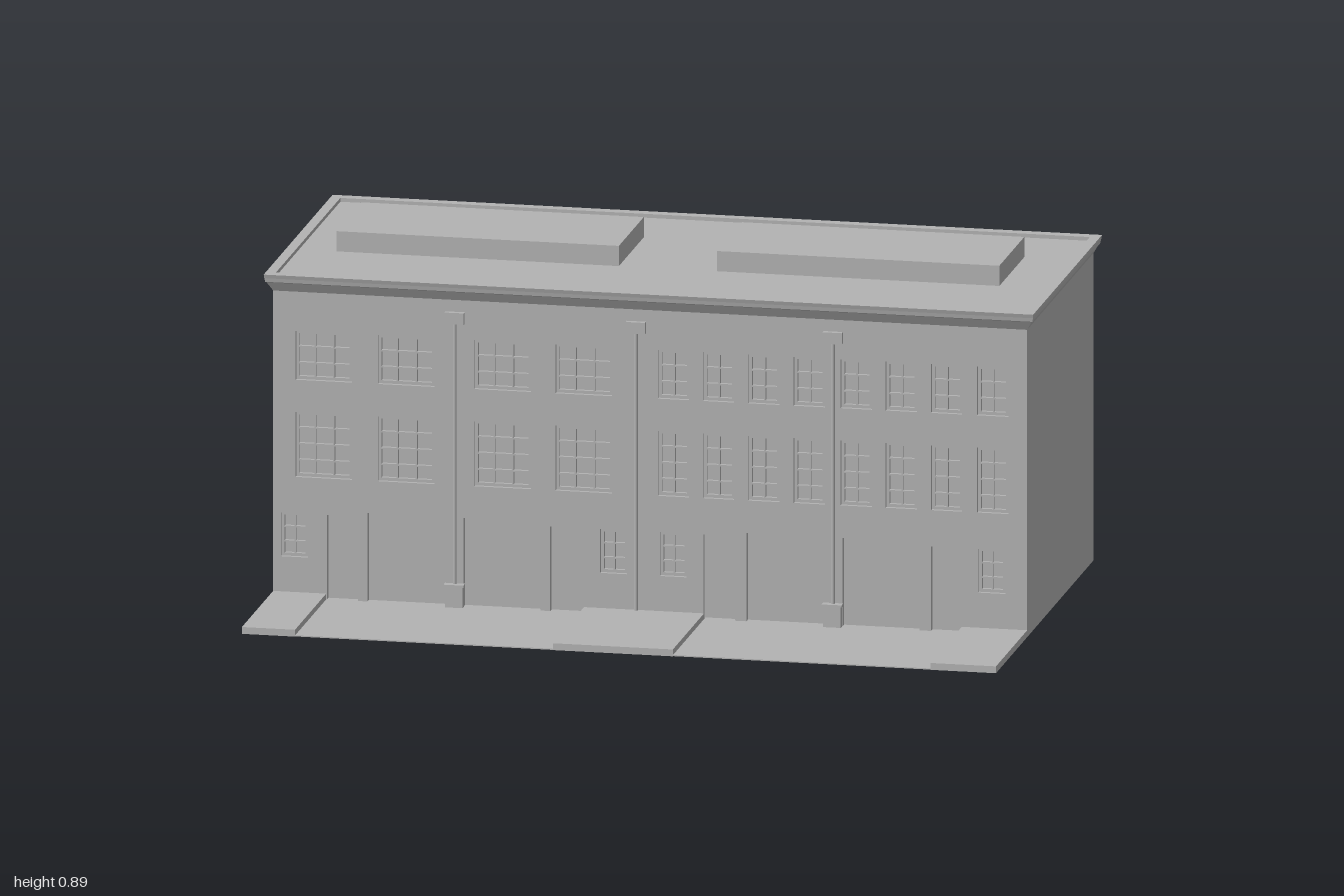
import * as THREE from 'three';

const FRONT = 0.22, BACK = -0.59, SIDE = 0.98, EAVE = 0.806;

export function createModel() {
  const model = new THREE.Group();
  const grey = new THREE.MeshStandardMaterial({ color: 0xb3b3b3 });
  grey.name = 'plain grey';

  const add = (name, geometry, parent = model) => {
    const mesh = new THREE.Mesh(geometry, grey);
    mesh.name = name;
    parent.add(mesh);
    return mesh;
  };
  // box given by its minimum and maximum corners
  const box = (name, x0, x1, y0, y1, z0, z1, parent = model) => {
    const mesh = add(name, new THREE.BoxGeometry(x1 - x0, y1 - y0, z1 - z0), parent);
    mesh.position.set((x0 + x1) / 2, (y0 + y1) / 2, (z0 + z1) / 2);
    return mesh;
  };

  // openings in the facade: x0, x1, top of ground-level doors
  const doors = [
    [-0.84, -0.76, 0.225], [-0.735, -0.53, 0.235], [-0.485, -0.285, 0.235], [-0.26, -0.18, 0.225],
    [0.138, 0.22, 0.225], [0.25, 0.45, 0.235], [0.5, 0.7, 0.235], [0.73, 0.81, 0.225],
  ];
  // windows: x0, x1, y0, y1, columns, rows
  const windows = [];
  for (const [y0, y1, rows] of [[0.32, 0.49, 4], [0.575, 0.703, 3]]) {
    for (const x of [-0.922, -0.708, -0.457, -0.246]) windows.push([x, x + 0.147, y0, y1, 3, rows]);
    for (const x of [0.02, 0.137, 0.255, 0.373, 0.495, 0.612, 0.73, 0.85]) windows.push([x, x + 0.081, y0, y1, 2, rows]);
  }
  for (const x of [-0.96, -0.13, 0.025, 0.853]) windows.push([x, x + 0.07, 0.11, 0.225, 2, 3]);

  // front wall: door openings notch the bottom edge, windows are holes
  const outline = [[-SIDE, 0]];
  for (const [x0, x1, top] of doors) outline.push([x0, 0], [x0, top], [x1, top], [x1, 0]);
  outline.push([SIDE, 0], [SIDE, EAVE], [-SIDE, EAVE]);
  const wall = new THREE.Shape(outline.map(([x, y]) => new THREE.Vector2(x, y)));
  for (const [x0, x1, y0, y1] of windows) {
    wall.holes.push(new THREE.Path([
      new THREE.Vector2(x0, y0), new THREE.Vector2(x0, y1),
      new THREE.Vector2(x1, y1), new THREE.Vector2(x1, y0),
    ]));
  }
  const facade = add('frontWall', new THREE.ExtrudeGeometry(wall, { depth: 0.025, bevelEnabled: false }));
  facade.position.z = FRONT - 0.025;

  // remaining walls, open underneath
  box('backWall', -SIDE, SIDE, 0, EAVE, BACK, BACK + 0.01);
  for (const s of [-1, 1]) {
    const x = s * (SIDE - 0.005);
    box(s > 0 ? 'leftWall' : 'rightWall', x - 0.005, x + 0.005, 0, EAVE, BACK + 0.01, FRONT - 0.025);
  }

  // recessed doors and garage doors
  for (const [x0, x1, top] of doors) {
    box(x1 - x0 > 0.1 ? 'garageDoor' : 'door', x0, x1, 0, top, FRONT - 0.025, FRONT - 0.018);
  }

  // windows with glass, frame and glazing bars
  for (const [x0, x1, y0, y1, cols, rows] of windows) {
    const win = new THREE.Group();
    win.name = 'window';
    model.add(win);
    box('glass', x0, x1, y0, y1, FRONT - 0.025, FRONT - 0.02, win);
    const bar = (name, w, a0, a1, b0, b1) => box(name, a0 - w, a1 + w, b0 - w, b1 + w, FRONT - 0.02, FRONT - 0.01, win);
    const t = 0.004;
    for (const x of [x0 + t, x1 - t]) bar('frameSide', t, x, x, y0 + t, y1 - t);
    for (const y of [y0 + t, y1 - t]) bar('frameRail', t, x0 + 3 * t, x1 - 3 * t, y, y);
    for (let i = 1; i < cols; i++) {
      const x = x0 + (x1 - x0) * i / cols;
      bar('uprightBar', 0.002, x, x, y0 + 0.01, y1 - 0.01);
    }
    for (let i = 1; i < rows; i++) {
      const y = y0 + (y1 - y0) * i / rows;
      bar('crossBar', 0.002, x0 + 0.01, x1 - 0.01, y, y);
    }
  }

  // cornice and roof: rectangular rings of [height, overhang, back overhang]
  const rings = [
    [EAVE, 0, 0], [0.83, 0.014, 0], [0.832, 0.017, 0.002], [0.842, 0.019, 0.006],
    [0.852, 0.022, 0.012], [0.852, -0.006, -0.016], [0.842, -0.006, -0.016],
  ];
  const corners = ([y, o, b]) => {
    const x = Math.min(SIDE + o, 1), f = FRONT + o, k = BACK - b;
    return [[-x, y, f], [x, y, f], [x, y, k], [-x, y, k]];
  };
  const points = [];
  for (let r = 0; r + 1 < rings.length; r++) {
    const low = corners(rings[r]), high = corners(rings[r + 1]);
    for (let i = 0; i < 4; i++) {
      const j = (i + 1) % 4;
      points.push(...low[i], ...low[j], ...high[j], ...low[i], ...high[j], ...high[i]);
    }
  }
  const cornice = new THREE.BufferGeometry();
  cornice.setAttribute('position', new THREE.Float32BufferAttribute(points, 3));
  cornice.computeVertexNormals();
  add('cornice', cornice);
  box('roof', -0.975, 0.975, 0.832, 0.842, -0.575, 0.215);
  for (const x of [-0.877, 0.112]) box('roofBox', x, x + 0.734, 0.842, 0.895, -0.375, -0.07);

  // drainpipes with hopper heads; the outer two stand on plinths
  for (const x of [-0.507, -0.036, 0.476]) {
    const foot = x === -0.036 ? 0.018 : 0.062;
    const pipe = add('drainpipe', new THREE.CylinderGeometry(0.005, 0.005, 0.75 - foot, 12));
    pipe.position.set(x, (0.75 + foot) / 2, FRONT + 0.005);
    box('hopperHead', x - 0.025, x + 0.025, 0.745, 0.775, FRONT, FRONT + 0.013);
    if (foot > 0.05) {
      box('plinth', x - 0.023, x + 0.023, 0, 0.057, FRONT, FRONT + 0.018);
      box('plinthCap', x - 0.026, x + 0.026, 0.057, 0.063, FRONT, FRONT + 0.021);
    }
  }

  // raised walks in front, with driveways running in under the building
  for (const [x0, x1] of [[-0.98, -0.842], [-0.172, 0.14], [0.81, 0.98]]) {
    box('walk', x0, x1, 0, 0.018, FRONT, 0.602);
  }
  for (const [x0, x1] of [[-0.842, -0.172], [0.14, 0.81]]) {
    box('driveway', x0, x1, 0, 0.003, -0.4, 0.6);
  }
  return model;
}
